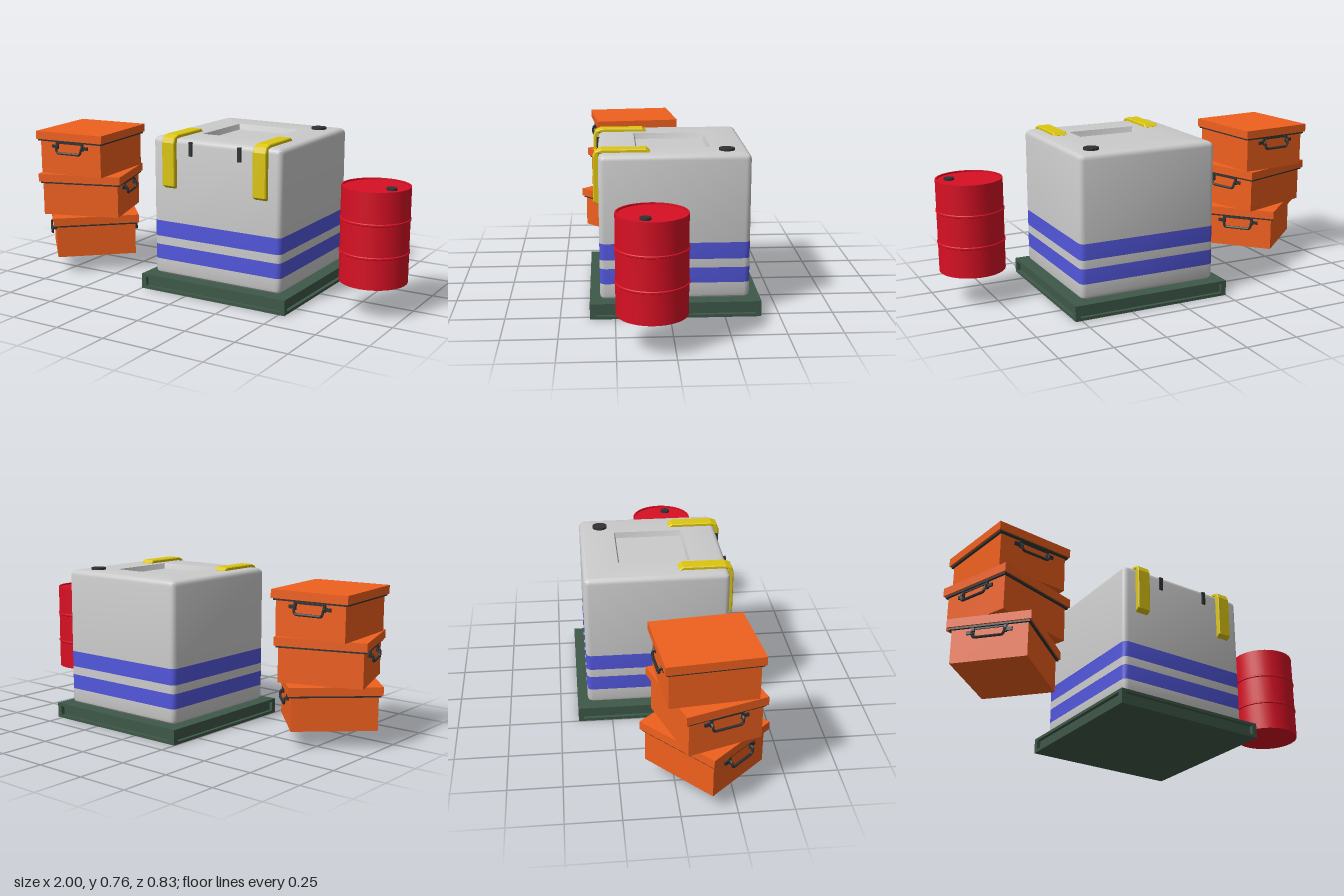
import * as THREE from 'three';
import { toCreasedNormals } from 'three/addons/utils/BufferGeometryUtils.js';

const mat = (color) => new THREE.MeshStandardMaterial({ color });
const GREY = mat(0xcccccc), BLUE = mat(0x5257dc), GREEN = mat(0x3e5848), YELLOW = mat(0xdcc612),
  RED = mat(0xd81024), ORANGE = mat(0xf0601e), BLACK = mat(0x303234);

function add(parent, name, geometry, material, x = 0, y = 0, z = 0) {
  const mesh = new THREE.Mesh(geometry, material);
  mesh.name = name;
  mesh.position.set(x, y, z);
  parent.add(mesh);
  return mesh;
}

// box given by its size and the height of its underside
const addBox = (parent, name, m, w, h, d, x, y, z) =>
  add(parent, name, new THREE.BoxGeometry(w, h, d), m, x, y + h / 2, z);

// skin through rounded squares, each given as [half size, y, corner radius]
function loft(rings) {
  const SEG = 3, n = 4 * (SEG + 1), pos = [], index = [];
  for (const [half, y, r] of rings) {
    for (let c = 0; c < 4; c++) {
      const mid = (c + 0.5) * Math.PI / 2;
      const cx = Math.sign(Math.cos(mid)) * (half - r), cz = Math.sign(Math.sin(mid)) * (half - r);
      for (let s = 0; s <= SEG; s++) {
        const a = (c + s / SEG) * Math.PI / 2;
        pos.push(cx + r * Math.cos(a), y, cz + r * Math.sin(a));
      }
    }
  }
  for (let k = 0; k < rings.length - 1; k++) {
    for (let i = 0; i < n; i++) {
      const l = k * n + i, lj = k * n + (i + 1) % n;
      index.push(l, l + n, lj, l + n, lj + n, lj);
    }
  }
  const g = new THREE.BufferGeometry();
  g.setAttribute('position', new THREE.Float32BufferAttribute(pos, 3));
  g.setIndex(index);
  return toCreasedNormals(g, 0.6);
}

// pallet: two plates, a set-back core and corner posts leave a channel on every side
function makePallet() {
  const g = new THREE.Group();
  g.name = 'pallet';
  addBox(g, 'palletBottomPlate', GREEN, 0.78, 0.014, 0.78, 0, 0, 0);
  addBox(g, 'palletTopPlate', GREEN, 0.78, 0.014, 0.78, 0, 0.059, 0);
  addBox(g, 'palletCore', GREEN, 0.745, 0.045, 0.745, 0, 0.014, 0);
  for (const sx of [-1, 1]) for (const sz of [-1, 1])
    addBox(g, 'palletCornerPost', GREEN, 0.025, 0.045, 0.025, sx * 0.3775, 0.014, sz * 0.3775);
  return g;
}

function makeCube() {
  const g = new THREE.Group();
  g.name = 'container';
  const H = 0.342, R = 0.025;

  // body, split at the painted stripes
  add(g, 'bodyLower', loft([[H - R, 0.072, 0.01], [H - 0.013, 0.076, 0.018], [H - 0.003, 0.085, 0.023],
    [H, 0.098, R], [H, 0.15, R]]), GREY);
  add(g, 'lowerStripe', loft([[H, 0.15, R], [H, 0.222, R]]), BLUE);
  add(g, 'bodyMiddle', loft([[H, 0.222, R], [H, 0.263, R]]), GREY);
  add(g, 'upperStripe', loft([[H, 0.263, R], [H, 0.34, R]]), BLUE);
  // upper body runs over the rounded top and down into the square recess
  add(g, 'bodyUpper', loft([[H, 0.34, R], [H, 0.72, R], [H - 0.003, 0.732, 0.023], [H - 0.013, 0.742, 0.018],
    [H - R, 0.745, 0.01], [0.171, 0.745, 0.005], [0.163, 0.718, 0.003], [0, 0.718, 0]]), GREY);

  // straps folded over the front top edge
  const side = new THREE.Shape([[0.108, 0.74], [0.108, 0.746], [0.126, 0.76], [0.328, 0.76], [0.356, 0.749],
    [0.366, 0.724], [0.366, 0.52], [0.345, 0.506], [0.336, 0.506], [0.336, 0.74]]
    .map(([z, y]) => new THREE.Vector2(z, y)));
  const strap = new THREE.ExtrudeGeometry(side, {
    depth: 0.06, bevelEnabled: true, bevelThickness: 0.004, bevelSize: 0.004, bevelOffset: -0.004, bevelSegments: 1,
  });
  strap.translate(0, 0, -0.03).rotateY(-Math.PI / 2);
  for (const s of [-1, 1]) {
    add(g, 'strap', strap, YELLOW, s * 0.243);
    addBox(g, 'frontClip', BLACK, 0.018, 0.066, 0.016, s * 0.13, 0.668, 0.342);
  }
  add(g, 'fillerCap', new THREE.CylinderGeometry(0.036, 0.036, 0.02, 24), BLACK, 0.24, 0.745, -0.239);
  return g;
}

function makeBarrel() {
  const g = new THREE.Group();
  g.name = 'barrel';
  const rib = (y) => [[0.155, y - 0.006], [0.159, y - 0.003], [0.159, y + 0.003], [0.155, y + 0.006]];
  const profile = [[0, 0.148], [0.155, 0.148], ...rib(0.29), ...rib(0.44),
    [0.155, 0.587], [0.147, 0.587], [0.147, 0.58], [0, 0.58]].map(([x, y]) => new THREE.Vector2(x, y));
  add(g, 'drum', toCreasedNormals(new THREE.LatheGeometry(profile, 40), 0.5), RED);
  add(g, 'barrelBung', new THREE.CylinderGeometry(0.024, 0.024, 0.014, 20), BLACK, 0.085, 0.583, 0.03);
  return g;
}

// swing handle: mounting tabs, back rail and a hanging bail
function makeHandle() {
  const g = new THREE.Group();
  g.name = 'handle';
  const bail = new THREE.CurvePath();
  const pts = [[-0.073, 0.035, 0.003], [-0.073, 0.028, 0.017], [-0.07, 0.008, 0.019], [-0.062, 0, 0.019],
    [0.062, 0, 0.019], [0.07, 0.008, 0.019], [0.073, 0.028, 0.017], [0.073, 0.035, 0.003]]
    .map((p) => new THREE.Vector3(...p));
  for (let i = 1; i < pts.length; i++) bail.add(new THREE.LineCurve3(pts[i - 1], pts[i]));
  add(g, 'bail', new THREE.TubeGeometry(bail, 56, 0.0065, 6), BLACK);
  addBox(g, 'backRail', BLACK, 0.15, 0.007, 0.006, 0, 0.045, 0.002);
  for (const s of [-1, 1]) {
    addBox(g, 'handleTab', BLACK, 0.034, 0.016, 0.009, s * 0.087, 0.023, 0.003);
    addBox(g, 'handlePost', BLACK, 0.012, 0.034, 0.012, s * 0.073, 0.018, 0.004);
  }
  return g;
}

// lidded crate with a handle on both narrow ends
function makeCrate(height) {
  const g = new THREE.Group();
  g.name = 'crate';
  const W = 0.348, D = 0.393, lid = 0.04;
  addBox(g, 'crateBody', ORANGE, W, height - lid, D, 0, 0, 0);
  addBox(g, 'lidSeal', BLACK, W + 0.02, 0.009, D + 0.02, 0, height - lid - 0.009, 0);
  addBox(g, 'crateLid', ORANGE, W + 0.034, lid, D + 0.034, 0, height - lid, 0);
  for (const turn of [0, Math.PI]) {
    const h = makeHandle();
    h.position.set(0, height - 0.103, Math.cos(turn) * D / 2);
    h.rotation.y = turn;
    g.add(h);
  }
  return g;
}

export function createModel() {
  const model = new THREE.Group();
  model.name = 'cargoSet';

  const pallet = makePallet();
  pallet.position.set(0.14, 0, -0.025);
  const cube = makeCube();
  cube.position.set(0.138, 0, -0.024);
  const barrel = makeBarrel();
  barrel.position.set(0.838, 0, 0.096);
  model.add(pallet, cube, barrel);

  // stack of crates: [x, y, z, height, turn]
  for (const [x, y, z, height, turn] of [[-0.719, 0.085, 0.134, 0.206, -0.827],
    [-0.721, 0.291, 0.136, 0.211, -1.25], [-0.72, 0.502, 0.131, 0.213, 0.1]]) {
    const crate = makeCrate(height);
    crate.position.set(x, y, z);
    crate.rotation.y = turn;
    model.add(crate);
  }
  return model;
}
